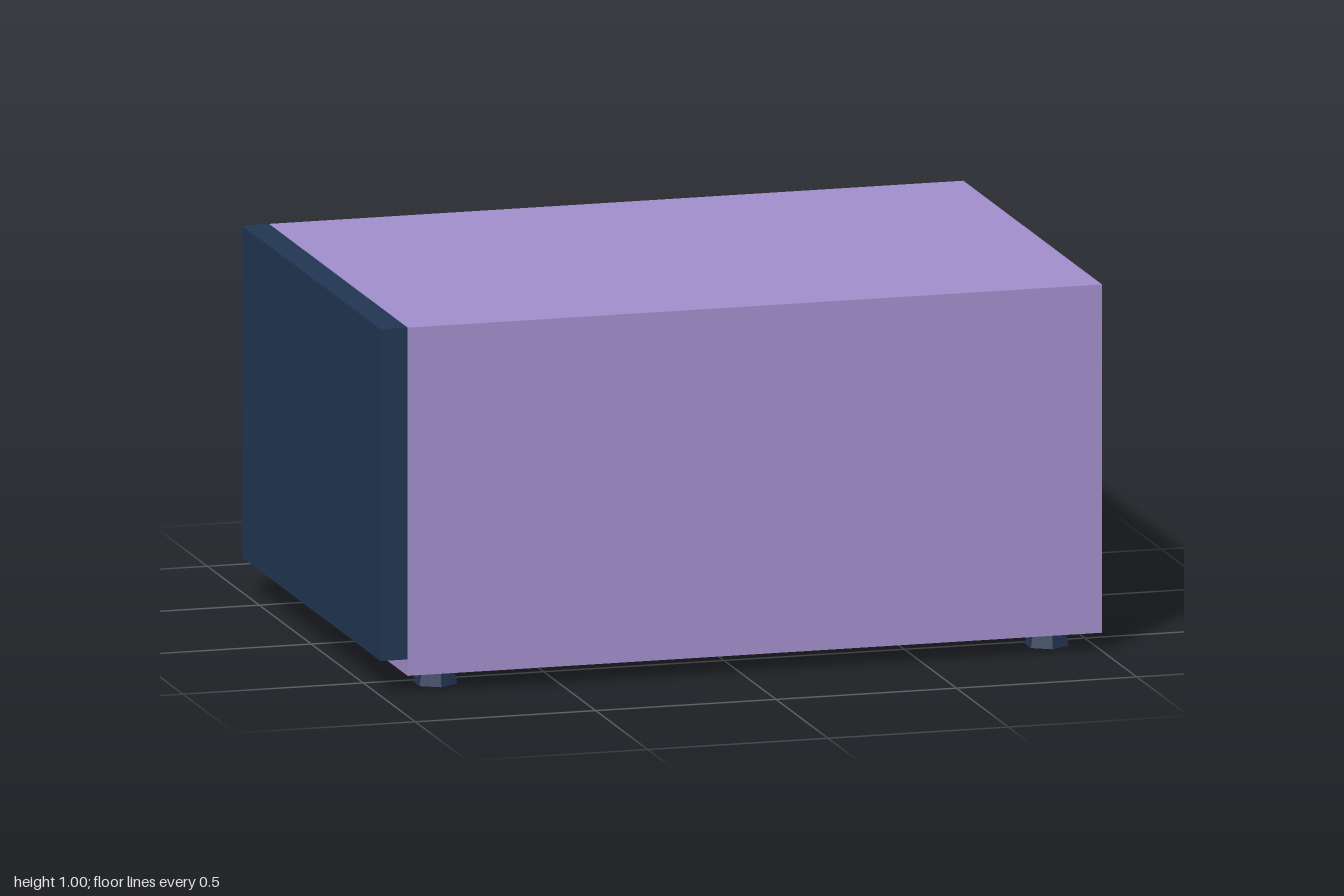
import * as THREE from 'three';

const material = (name, color) => new THREE.MeshStandardMaterial({ name, color, flatShading: true });

// Rectangle with chamfered corners, centred on (cx, cy)
function chamferedRect(w, h, c) {
  const x = w / 2, y = h / 2;
  return new THREE.Shape([
    [-x + c, -y], [x - c, -y], [x, -y + c], [x, y - c],
    [x - c, y], [-x + c, y], [-x, y - c], [-x, -y + c],
  ].map(([a, b]) => new THREE.Vector2(a, b)));
}

function rectPoints(x0, y0, x1, y1) {
  return [[x0, y0], [x1, y0], [x1, y1], [x0, y1]].map(([a, b]) => new THREE.Vector2(a, b));
}

export function createModel() {
  const model = new THREE.Group();
  model.name = 'drawerCabinet';
  const lilac = material('lilac', 0xa08dca);
  const greyLilac = material('greyLilac', 0xaca0c4);
  const navy = material('navy', 0x213552);

  function add(parent, name, geometry, mat, x, y, z) {
    const mesh = new THREE.Mesh(geometry, mat);
    mesh.name = name;
    mesh.position.set(x, y, z);
    parent.add(mesh);
    return mesh;
  }

  const back = -0.667, recess = 0.02;
  const left = 1, right = -0.925, bottom = 0.05, top = 1;
  const opening = { x0: -0.865, x1: 0.945, h: 0.395 };
  const drawerCentres = [0.303, 0.743];

  // Cabinet block, with a frame around the drawer openings at the back
  const depth = 1.334 - recess;
  add(model, 'cabinetBody', new THREE.BoxGeometry(left - right, top - bottom, depth), lilac,
    (left + right) / 2, (top + bottom) / 2, back + recess + depth / 2);

  const frame = new THREE.Shape(rectPoints(right, bottom, left, top));
  for (const y of drawerCentres) {
    frame.holes.push(new THREE.Path(
      rectPoints(opening.x0, y - opening.h / 2, opening.x1, y + opening.h / 2).reverse()));
  }
  add(model, 'drawerFrame', new THREE.ExtrudeGeometry(frame, { depth: recess, bevelEnabled: false }),
    lilac, 0, 0, back);

  // Dark panel on one side
  add(model, 'sidePanel', new THREE.BoxGeometry(0.075, 0.905, 1.334), navy, -0.9625, 0.5475, 0);

  // Drawers with a grip and a row of vent slots
  const plate = { depth: 0.005, bevelEnabled: false };
  const gripGeometry = new THREE.ExtrudeGeometry(chamferedRect(0.33, 0.1, 0.032), plate);
  const slotGeometry = new THREE.ExtrudeGeometry(chamferedRect(0.05, 0.315, 0.014), plate);
  const face = back + recess - 0.005;
  for (const y of drawerCentres) {
    const drawer = new THREE.Group();
    drawer.name = 'drawer';
    drawer.position.y = y;
    model.add(drawer);
    add(drawer, 'drawerFront', new THREE.BoxGeometry(opening.x1 - opening.x0, opening.h, 0.01),
      greyLilac, (opening.x0 + opening.x1) / 2, 0, face + 0.005);
    add(drawer, 'grip', gripGeometry, navy, 0.615, -0.003, face - 0.004);
    for (let i = 0; i < 6; i++) {
      add(drawer, 'ventSlot', slotGeometry, navy, -0.342 - i * 0.0868, -0.004, face - 0.004);
    }
  }

  // Six-sided feet, wider at the floor
  const footGeometry = new THREE.CylinderGeometry(0.05, 0.06, 0.05, 6);
  for (const x of [-0.815, 0.88]) {
    for (const z of [-0.517, 0.55]) add(model, 'foot', footGeometry, navy, x, 0.025, z);
  }

  return model;
}
